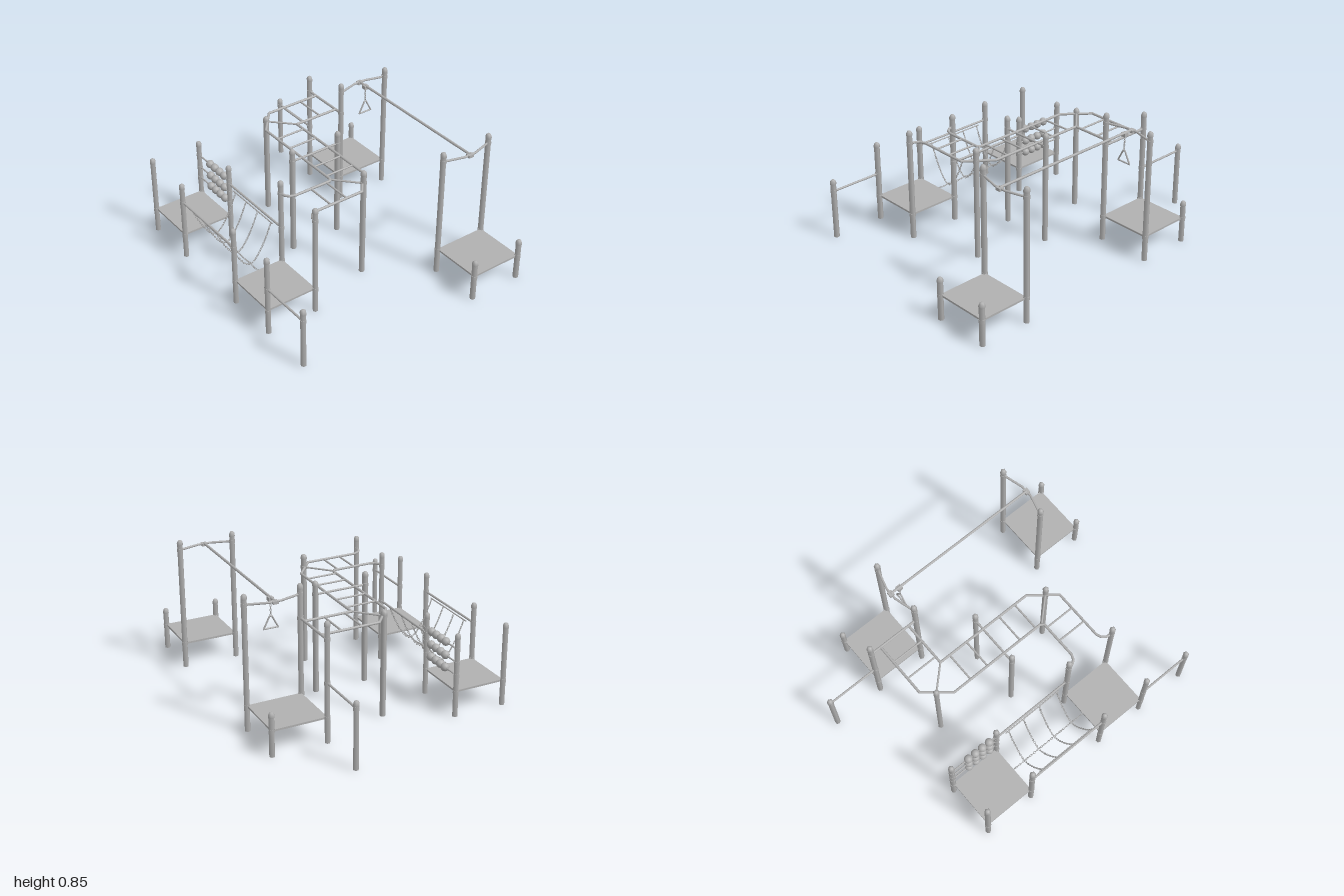
import * as THREE from 'three';
import { mergeGeometries } from 'three/addons/utils/BufferGeometryUtils.js';

const V = (x, y, z) => new THREE.Vector3(x, y, z);

export function createModel() {
  const model = new THREE.Group();
  const steel = new THREE.MeshStandardMaterial({ color: 0xb0b0b0 });
  steel.name = 'grey steel';

  const add = (name, geometry) => {
    const mesh = new THREE.Mesh(geometry, steel);
    mesh.name = name;
    model.add(mesh);
    return mesh;
  };

  // Straight round bar between two points
  const barGeometry = (a, b, r) => {
    const d = b.clone().sub(a);
    const g = new THREE.CylinderGeometry(r, r, d.length(), 8);
    g.applyQuaternion(new THREE.Quaternion().setFromUnitVectors(V(0, 1, 0), d.normalize()));
    return g.translate((a.x + b.x) / 2, (a.y + b.y) / 2, (a.z + b.z) / 2);
  };
  const bar = (name, a, b, r = 0.007) => add(name, barGeometry(a, b, r));

  // Bent pipe with straight legs between its corners
  const pipe = (name, points, r = 0.008) => {
    const path = new THREE.CurvePath();
    for (let i = 1; i < points.length; i++) path.add(new THREE.LineCurve3(points[i - 1], points[i]));
    const parts = path.curves.map((c) => barGeometry(c.v1, c.v2, r));
    points.slice(1, -1).forEach((p) => parts.push(new THREE.SphereGeometry(r, 8, 6).translate(p.x, p.y, p.z)));
    add(name, mergeGeometries(parts));
  };

  // Chain of alternating oval links along a curve
  const chain = (name, curve) => {
    const count = Math.max(2, Math.round(curve.getLength() / 0.0145));
    const links = [];
    for (let i = 0; i < count; i++) {
      const u = (i + 0.5) / count;
      const link = new THREE.TorusGeometry(0.0048, 0.0019, 5, 8).scale(1.75, 1, 1);
      link.rotateX(i % 2 ? Math.PI / 2 : 0);
      link.applyQuaternion(new THREE.Quaternion().setFromUnitVectors(V(1, 0, 0), curve.getTangentAt(u)));
      const p = curve.getPointAt(u);
      links.push(link.translate(p.x, p.y, p.z));
    }
    add(name, mergeGeometries(links));
  };

  // Six-sided post with a domed cap and clamp collars
  const post = (name, x, z, h, collars = [], turn = Math.PI / 6) => {
    const r = 0.0175;
    const outline = [[0, 0], [r, 0], [r, h - 0.033], [r + 0.002, h - 0.032], [r + 0.002, h - 0.018],
      [r - 0.003, h - 0.006], [0.008, h], [0, h]];
    const parts = [new THREE.LatheGeometry(outline.map(([a, b]) => new THREE.Vector2(a, b)), 6)];
    collars.forEach((y) => parts.push(new THREE.CylinderGeometry(r + 0.002, r + 0.002, 0.022, 6).translate(0, y, 0)));
    const mesh = add(name, mergeGeometries(parts));
    mesh.rotation.y = turn;
    mesh.position.set(x, 0, z);
  };

  const L = -0.745, M = -0.415, N = 0.395, R = 0.74;
  const deckY = 0.158, barY = 0.64, zipY = 0.787;

  // Decks: x range, z range
  for (const [name, x0, x1, z0, z1] of [
    ['beadDeck', L, M, -0.702, -0.367], ['ladderDeck', L, M, 0.19, 0.523],
    ['zipStartDeck', N, R, -0.645, -0.31], ['zipEndDeck', N, R, 0.657, 0.983]]) {
    add(name, new THREE.BoxGeometry(x1 - x0, 0.012, z1 - z0)).position.set((x0 + x1) / 2, deckY, (z0 + z1) / 2);
  }

  // Deck posts: x, z, height, extra collars
  for (const [x, z, h, ...collars] of [
    [L, -0.705, 0.53], [M, -0.705, 0.53, 0.265, 0.345, 0.43],
    [L, -0.365, 0.53, 0.4], [M, -0.365, 0.53, 0.265, 0.345, 0.4, 0.43],
    [L, 0.19, 0.53, 0.4], [M, 0.19, 0.725, 0.4, barY],
    [L, 0.525, 0.53, 0.315], [M, 0.525, 0.725, barY],
    [N, -0.645, 0.75, 0.375, barY], [R, -0.645, 0.275],
    [N, -0.31, 0.85, barY, zipY], [R, -0.31, 0.85, zipY],
    [N, 0.657, 0.85, zipY], [R, 0.657, 0.85, zipY],
    [N, 0.983, 0.275], [R, 0.983, 0.275]]) post('deckPost', x, z, h, [deckY, ...collars]);

  // Free-standing posts with turning bars
  post('turnBarPost', L, 0.865, 0.395, [0.315]);
  bar('turnBar', V(L, 0.315, 0.525), V(L, 0.315, 0.865));
  post('turnBarPost', N, -0.985, 0.42, [0.375]);
  bar('turnBar', V(N, 0.375, -0.645), V(N, 0.375, -0.985));

  // Overhead ladder posts
  for (const [x, z, h] of [[-0.04, -0.505, 0.675], [0.03, 0.39, 0.725], [-0.17, -0.04, 0.725], [0.165, -0.04, 0.725]])
    post('ladderPost', x, z, h, [barY], 0);

  // Overhead ladder rails
  const flat = (pts) => pts.map(([x, z]) => V(x, barY, z));
  pipe('outerLadderRail', flat([[N, -0.575], [0.03, -0.575], [-0.1, -0.42], [-0.1, 0.235], [-0.115, 0.257],
    [-0.36, 0.257], [-0.392, 0.245], [-0.41, 0.22], [M, 0.19]]));
  pipe('innerLadderRail', flat([[N, -0.365], [0.095, -0.365], [0.095, 0.295], [-0.03, 0.452],
    [-0.36, 0.452], [-0.392, 0.465], [-0.41, 0.49], [M, 0.525]]));
  bar('ladderEndBar', V(N, barY, -0.645), V(N, barY, -0.31), 0.008);

  // Ladder rungs: straight across, at the two corners, and the long middle one
  const rung = (x0, z0, x1, z1, r = 0.006) => bar('ladderRung', V(x0, barY, z0), V(x1, barY, z1), r);
  for (const z of [-0.295, -0.167, 0.083, 0.203]) rung(-0.1, z, 0.095, z);
  for (const x of [0.14, 0.27]) rung(x, -0.575, x, -0.365);
  for (const x of [-0.25, -0.14]) rung(x, 0.257, x, 0.452);
  rung(-0.04, -0.505, 0.095, -0.365);
  rung(-0.1, 0.25, 0.03, 0.39);
  rung(-0.17, -0.04, 0.165, -0.04, 0.007);

  // Counting beads
  for (const y of [0.265, 0.345, 0.43]) {
    bar('beadRod', V(M, y, -0.705), V(M, y, -0.365), 0.005);
    for (const z of [-0.42, -0.473, -0.526, -0.579])
      add('bead', new THREE.SphereGeometry(0.026, 14, 10)).position.set(M, y, z);
  }

  // Chain bridge: handrails, slung chains and the foot chain
  const mid = (L + M) / 2;
  for (const side of [-1, 1]) {
    bar('bridgeHandrail', V(mid + side * 0.165, 0.4, -0.365), V(mid + side * 0.165, 0.4, 0.19));
    bar('chainRail', V(mid + side * 0.154, 0.386, -0.3), V(mid + side * 0.154, 0.386, 0.115), 0.004);
  }
  const slings = [-0.278, -0.163, -0.04, 0.1];
  const half = [[0.153, 0.385], [0.105, 0.275], [0.05, 0.185], [0.02, 0.157]];
  for (const z of slings) {
    const points = [...half.map(([x, y]) => V(mid - x, y, z)), V(mid, 0.15, z),
      ...half.slice().reverse().map(([x, y]) => V(mid + x, y, z))];
    chain('slingChain', new THREE.CatmullRomCurve3(points));
  }
  const stops = [-0.365, ...slings, 0.19];
  for (let i = 1; i < stops.length; i++) {
    const a = stops[i - 1], b = stops[i];
    chain('footChain', new THREE.QuadraticBezierCurve3(V(mid, 0.157, a), V(mid, 0.141, (a + b) / 2), V(mid, 0.157, b)));
  }

  // Glide beam with bowed end supports
  const cx = (N + R) / 2;
  for (const [z, bow] of [[-0.31, -0.037], [0.657, 0.037]]) {
    pipe('beamSupport', [V(N, zipY, z), V(cx - 0.04, zipY, z + bow), V(cx + 0.04, zipY, z + bow), V(R, zipY, z)], 0.007);
    add('beamBracket', new THREE.BoxGeometry(0.035, 0.018, 0.03)).position.set(cx, zipY - 0.003, z + bow);
  }
  bar('glideBeam', V(cx, zipY + 0.003, -0.345), V(cx, zipY + 0.003, 0.692), 0.008);

  // Trolley, chain and triangular handle
  const tz = -0.285;
  add('trolley', new THREE.BoxGeometry(0.03, 0.024, 0.032)).position.set(cx, zipY - 0.006, tz);
  chain('handleChain', new THREE.LineCurve3(V(cx, 0.778, tz), V(cx, 0.676, tz)));
  const top = 0.007, base = 0.045;
  pipe('handle', [V(cx, 0.602, tz), V(cx - base, 0.602, tz), V(cx - top, 0.676, tz),
    V(cx + top, 0.676, tz), V(cx + base, 0.602, tz), V(cx, 0.602, tz)], 0.005);

  return model;
}
